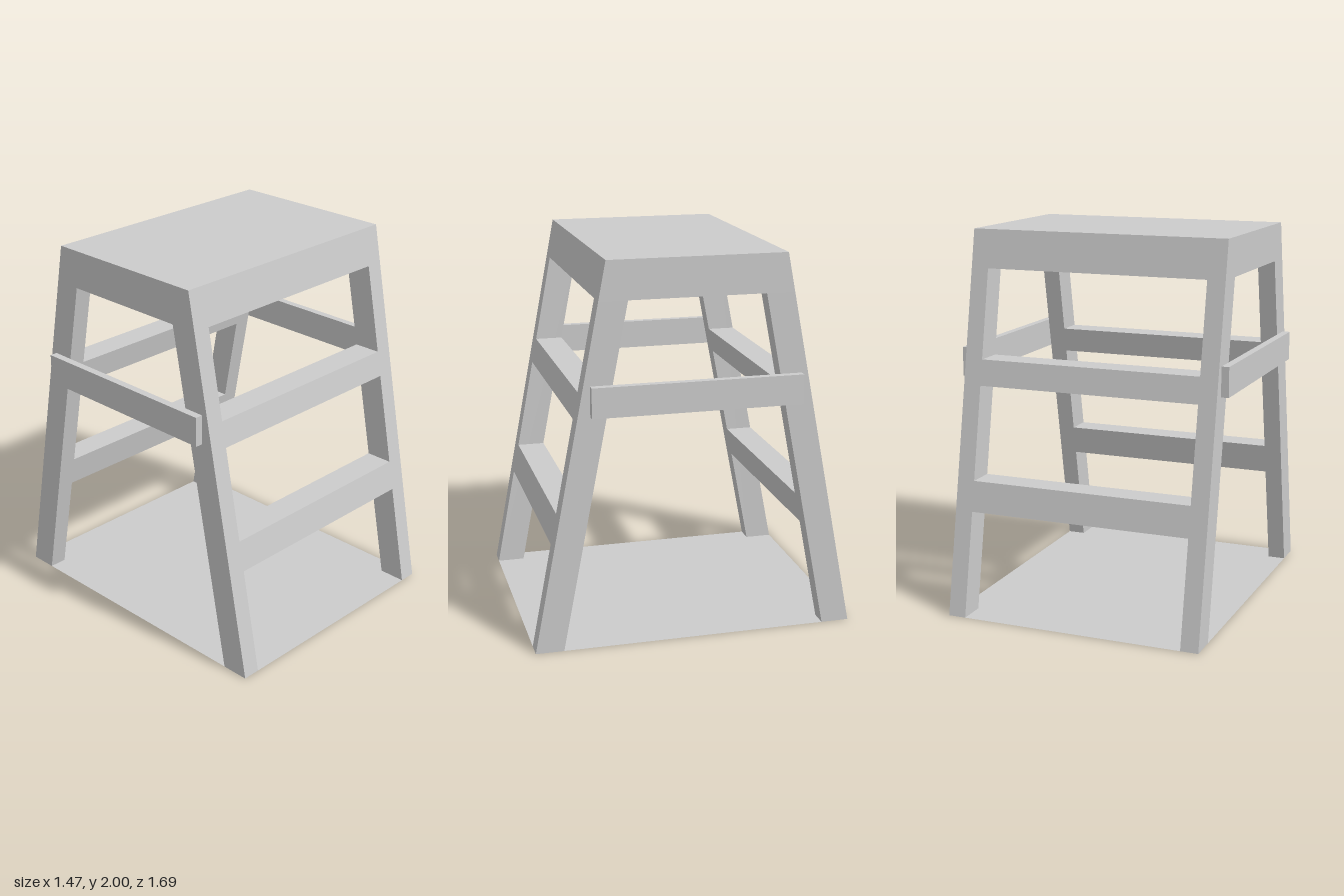
import * as THREE from 'three';

const W = 0.695;                        // half width
const outer = (y) => 0.845 - 0.1925 * y; // depth of the sloping outer faces
const DEPTH = 0.147;                    // depth of legs and rungs

export function createModel() {
  const model = new THREE.Group();
  const solid = new THREE.MeshStandardMaterial({ color: 0xcccccc, flatShading: true });
  const thin = new THREE.MeshStandardMaterial({ color: 0xcccccc, flatShading: true, side: THREE.DoubleSide });

  const add = (name, geometry, material = solid) => {
    const mesh = new THREE.Mesh(geometry, material);
    mesh.name = name;
    model.add(mesh);
    return mesh;
  };

  // A bar whose front and back lean with the slope of the frame
  const leaningBar = (name, x, width, y0, y1, side) => {
    const g = new THREE.BoxGeometry(width, y1 - y0, DEPTH);
    g.translate(x, (y0 + y1) / 2, 0);
    const p = g.attributes.position;
    for (let i = 0; i < p.count; i++) {
      p.setZ(i, p.getZ(i) + side * (outer(p.getY(i)) - DEPTH / 2));
    }
    g.computeVertexNormals();
    add(name, g);
  };

  for (const [end, side] of [['front', 1], ['back', -1]]) {
    leaningBar(end + 'LeftLeg', W - 0.0475, 0.095, 0, 1.8, side);
    leaningBar(end + 'RightLeg', -W + 0.0475, 0.095, 0, 1.8, side);
    leaningBar(end + 'LowerRung', 0, 1.2, 0.55, 0.71, side);
    leaningBar(end + 'UpperRung', 0, 1.2, 1.2, 1.335, side);
  }

  // Thin four-sided apron around the hollow top
  const apron = new THREE.CylinderGeometry(1, 1, 0.2, 4, 1, true);
  apron.rotateY(Math.PI / 4);
  apron.translate(0, 1.9, 0);
  const p = apron.attributes.position;
  for (let i = 0; i < p.count; i++) {
    p.setX(i, Math.sign(p.getX(i)) * W);
    p.setZ(i, Math.sign(p.getZ(i)) * outer(p.getY(i)));
  }
  apron.computeVertexNormals();
  add('apron', apron, thin);

  // Top and base sheets
  for (const [name, y] of [['topPanel', 2], ['basePanel', 0]]) {
    const g = new THREE.PlaneGeometry(2 * W, 2 * outer(y));
    g.rotateX(-Math.PI / 2);
    add(name, g, thin).position.y = y;
  }

  // Side rails joining front and back legs
  for (const [name, s] of [['leftRail', 1], ['rightRail', -1]]) {
    add(name, new THREE.BoxGeometry(0.04, 0.155, 1.09)).position.set(s * (W + 0.02), 1.3075, 0);
  }

  return model;
}
